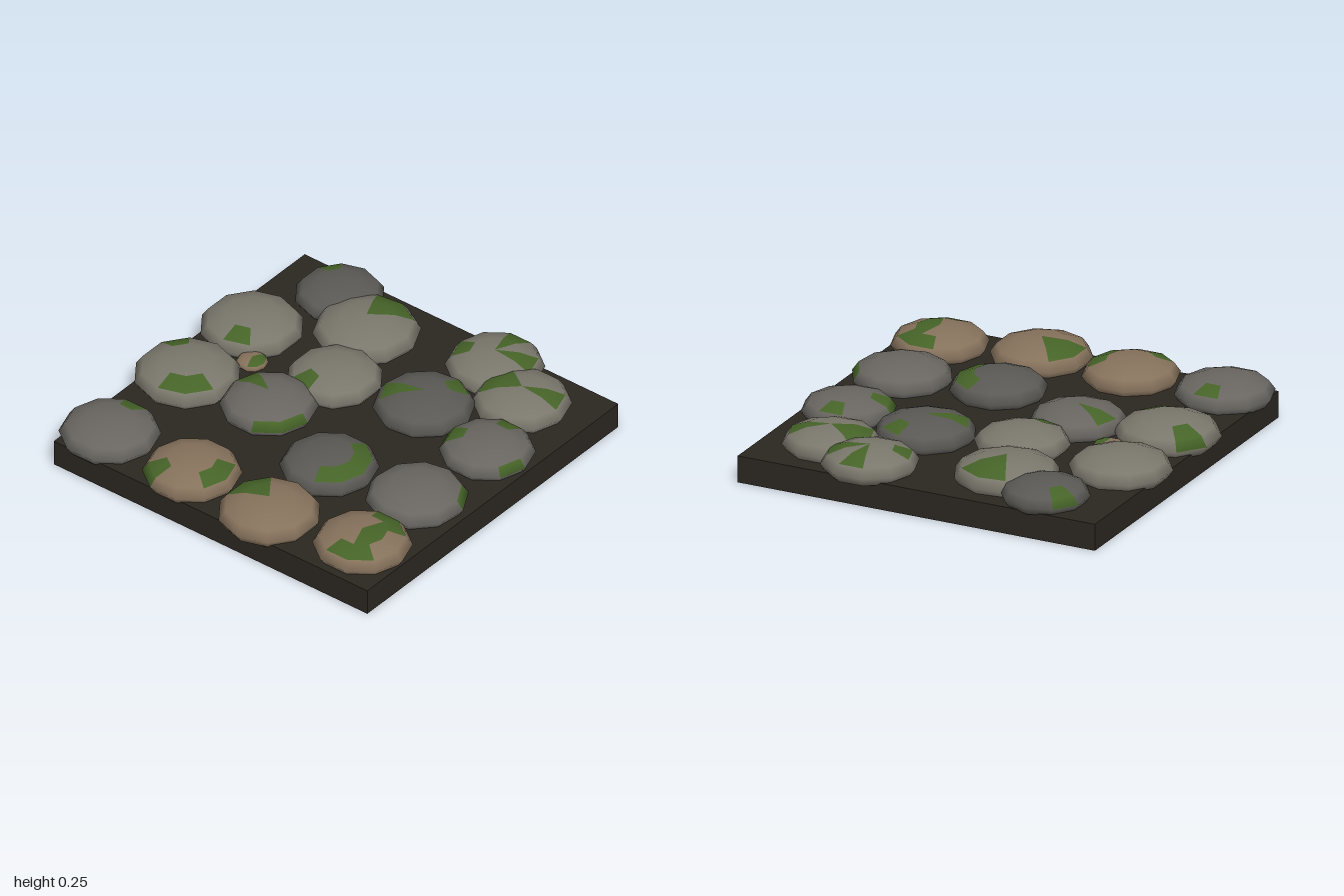
import * as THREE from 'three';

const SEGMENTS = 10, RINGS = 6;
const paint = (color) => new THREE.MeshStandardMaterial({ color });

// Each stone: tone, x, z, radius, then moss patches [first segment, count, ring].
// The fraction of the first segment turns the stone; a half ring covers both neighbours.
const STONES = [
  ['dark', -0.55, -0.75, 0.21, [8.5, 1, 1.5]],
  ['light', -0.28, -0.61, 0.25, [6.2, 2, 0.5]],
  ['light', 0.34, -0.77, 0.23, [5, 1, 0.5], [7, 1, 0.5], [0, 1, 1]],
  ['light', 0.61, -0.63, 0.23, [9, 2, 0.5], [5, 1, 0.5]],
  ['light', -0.71, -0.31, 0.243, [2.5, 1, 1]],
  ['light', -0.17, -0.24, 0.225, [1.5, 1, 1]],
  ['dark', 0.28, -0.33, 0.238, [0.2, 1, 0.5], [6, 1, 1]],
  ['mid', 0.72, -0.24, 0.222, [7, 1, 1], [0, 1, 1.5], [4, 1, 2]],
  ['light', -0.71, 0.16, 0.25, [8.5, 1, 1.5], [2, 2, 1]],
  ['mid', -0.275, 0.11, 0.228, [9, 1, 0.5], [3, 2, 2]],
  ['dark', 0.23, 0.3, 0.23, [3, 4, 1]],
  ['mid', 0.69, 0.235, 0.238, [5.3, 1, 2]],
  ['mid', -0.71, 0.725, 0.235, [7, 1, 1]],
  ['brown', -0.23, 0.725, 0.23, [4, 2, 1], [1, 1, 1.5]],
  ['brown', 0.24, 0.75, 0.24, [8.5, 2, 0.5]],
  ['brown', 0.72, 0.67, 0.23, [2, 2, 1], [3, 4, 0], [6, 2, 1]],
  ['brown', -0.54, -0.1, 0.075, [3, 4, 0.5]],
];

// Segment and ring of the sphere cell that holds the triangle at an index offset
function cellOf(offset) {
  const capLength = SEGMENTS * 3, rowLength = SEGMENTS * 6;
  if (offset < capLength) return { segment: Math.floor(offset / 3), ring: 0 };
  const ring = Math.floor((offset - capLength) / rowLength) + 1;
  const inRow = (offset - capLength) % rowLength;
  return { segment: Math.floor(inRow / (ring === RINGS - 1 ? 3 : 6)), ring };
}

function isMossy({ segment, ring }, patches) {
  return patches.some(([first, count, patchRing]) =>
    (segment - Math.floor(first) + SEGMENTS) % SEGMENTS < count && Math.abs(ring - patchRing) <= 0.5);
}

// Flattened sphere split into bare stone and moss; wider stones stand taller
function makeStone([tone, x, z, radius, ...patches], materials) {
  const shape = new THREE.SphereGeometry(1, SEGMENTS, RINGS);
  shape.rotateY((patches[0][0] % 1) * Math.PI * 2 / SEGMENTS);
  shape.scale(radius, radius * 0.375, radius);

  const faces = { stone: [], moss: [] };
  const index = shape.index.array;
  for (let i = 0; i < index.length; i += 3) {
    const part = isMossy(cellOf(i), patches) ? 'moss' : 'stone';
    faces[part].push(index[i], index[i + 1], index[i + 2]);
  }

  const group = new THREE.Group();
  group.name = 'cobblestone';
  for (const [part, list] of Object.entries(faces)) {
    const geometry = shape.clone();
    geometry.setIndex(list);
    const mesh = new THREE.Mesh(geometry, part === 'moss' ? materials.moss : materials[tone]);
    mesh.name = part;
    group.add(mesh);
  }
  group.position.set(x, 0.16, z);
  return group;
}

export function createModel() {
  const model = new THREE.Group();
  model.name = 'mossyCobblestoneTile';
  const materials = {
    light: paint(0x7a776c), mid: paint(0x696661), dark: paint(0x5a5955),
    brown: paint(0x86725c), moss: paint(0x466428),
  };

  // Soil slab
  const slab = new THREE.Mesh(new THREE.BoxGeometry(1.83, 0.13, 1.83), paint(0x2b2620));
  slab.name = 'soilSlab';
  slab.position.set(0.025, 0.065, -0.005);
  model.add(slab);

  // Cobblestones
  for (const stone of STONES) model.add(makeStone(stone, materials));
  return model;
}
